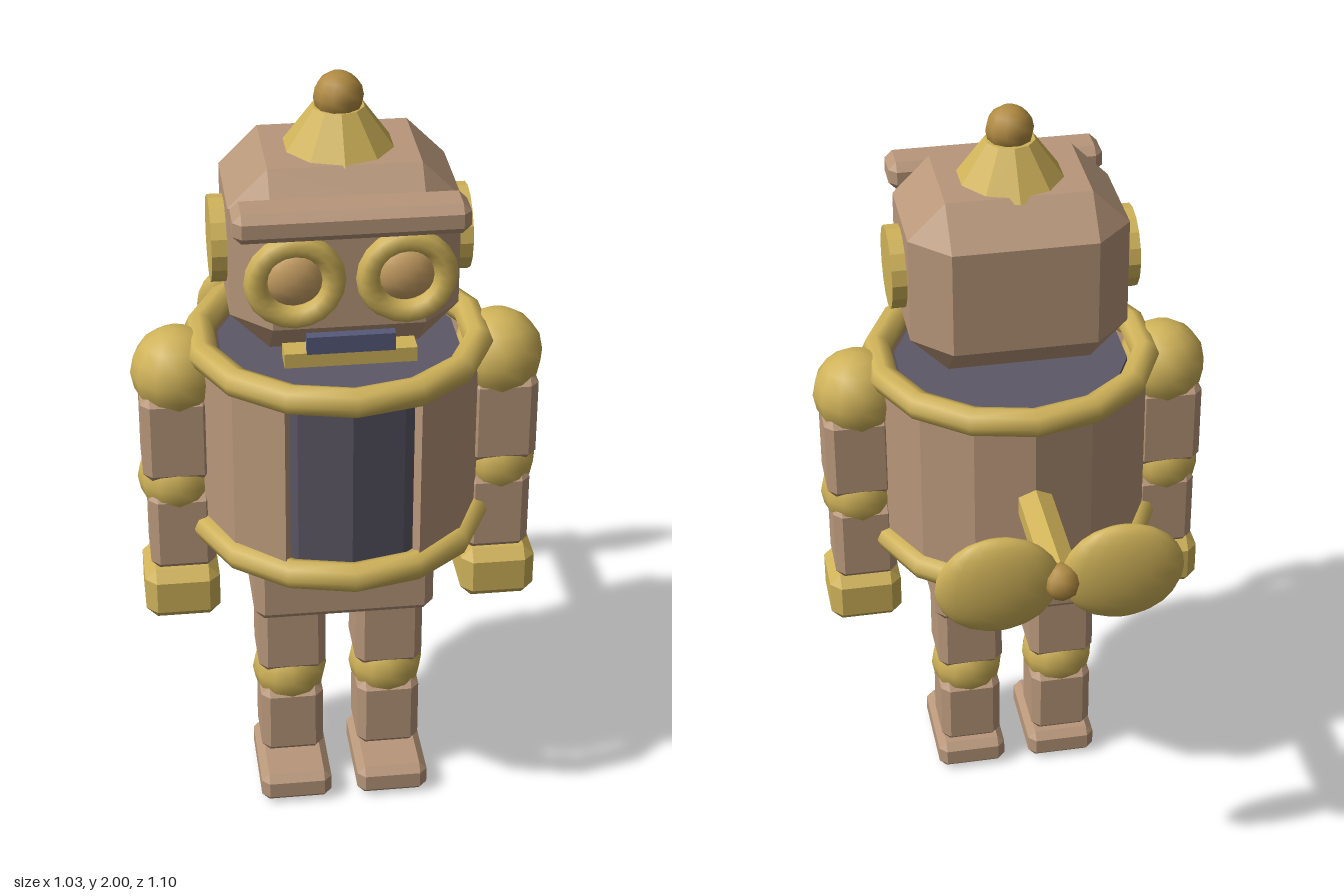
import * as THREE from 'three';
import { ConvexGeometry } from 'three/addons/geometries/ConvexGeometry.js';

const mat = (name, color) => {
  const m = new THREE.MeshStandardMaterial({ color });
  m.name = name;
  return m;
};

// Give every face its own normal
function flat(geometry) {
  const g = geometry.index ? geometry.toNonIndexed() : geometry;
  g.computeVertexNormals();
  return g;
}

// Box with every edge cut at 45 degrees
function chamferBox(w, h, d, c) {
  const points = [];
  for (const sx of [-1, 1]) for (const sy of [-1, 1]) for (const sz of [-1, 1]) {
    for (let full = 0; full < 3; full++) {
      const p = [w / 2, h / 2, d / 2].map((half, i) => (i === full ? half : half - c));
      points.push(new THREE.Vector3(sx * p[0], sy * p[1], sz * p[2]));
    }
  }
  return new ConvexGeometry(points);
}

// Faceted wall around the back and sides, open at the front
function shellGeometry(outer, inner, height, gap, facets) {
  const ring = (r) => Array.from({ length: facets + 1 }, (_, i) => {
    const a = gap + (i / facets) * (Math.PI * 2 - gap * 2);
    return new THREE.Vector2(r * Math.sin(a), -r * Math.cos(a));
  });
  const shape = new THREE.Shape([...ring(outer), ...ring(inner).reverse()]);
  const g = new THREE.ExtrudeGeometry(shape, { depth: height, bevelEnabled: false });
  return g.rotateX(-Math.PI / 2);
}

export function createModel() {
  const model = new THREE.Group();
  model.name = 'robot';
  const brown = mat('brown metal', 0xb8977a);
  const gold = mat('gold', 0xcfb259);
  const dark = mat('dark core', 0x5c5866);
  const bronze = mat('bronze', 0xb08a42);
  const lens = mat('lens', 0xcda467);
  const slot = mat('mouth slot', 0x565a7a);
  const Z = 0.168; // depth of the body axis

  const add = (parent, name, geometry, material, x, y, z) => {
    const mesh = new THREE.Mesh(geometry, material);
    mesh.name = name;
    mesh.position.set(x, y, z);
    parent.add(mesh);
    return mesh;
  };
  const part = (name) => {
    const g = new THREE.Group();
    g.name = name;
    model.add(g);
    return g;
  };
  const ball = (r, w = 12, h = 8) => new THREE.SphereGeometry(r, w, h);

  // Head with brow, mouth and pointed cap
  const head = part('head');
  add(head, 'skull', chamferBox(0.55, 0.465, 0.445, 0.094), brown, 0, 1.5875, Z);
  add(head, 'brow', chamferBox(0.55, 0.075, 0.11, 0.02), brown, 0, 1.737, 0.4);
  add(head, 'mouth', new THREE.BoxGeometry(0.21, 0.045, 0.025), slot, 0, 1.423, 0.417);
  add(head, 'lowerLip', new THREE.BoxGeometry(0.315, 0.037, 0.058), gold, 0, 1.383, 0.395);
  add(head, 'cap', flat(new THREE.CylinderGeometry(0.063, 0.143, 0.11, 10)), gold, 0, 1.862, 0.165);
  add(head, 'capKnob', ball(0.06, 10, 8), bronze, 0, 1.94, Z);
  for (const s of [-1, 1]) {
    add(head, 'eyeRim', new THREE.TorusGeometry(0.092, 0.028, 8, 20), gold, s * 0.131, 1.588, 0.416);
    add(head, 'eyeLens', ball(0.076, 16, 10), lens, s * 0.131, 1.59, 0.385).scale.z = 0.6;
    const ear = flat(new THREE.CylinderGeometry(0.105, 0.105, 0.05, 16).rotateZ(Math.PI / 2));
    add(head, 'ear', ear, gold, s * 0.287, 1.59, Z);
  }

  // Drum torso: dark core, open shell and two rings
  const torso = part('torso');
  add(torso, 'core', flat(new THREE.CylinderGeometry(0.3, 0.3, 0.47, 14)), dark, 0, 1.065, Z);
  add(torso, 'shell', shellGeometry(0.35, 0.32, 0.49, THREE.MathUtils.degToRad(28), 12), brown, 0, 0.82, Z);
  for (const y of [0.821, 1.312]) {
    const ring = new THREE.TorusGeometry(0.345, 0.037, 8, 14).rotateZ(Math.PI / 2).rotateX(Math.PI / 2);
    add(torso, 'ring', ring, gold, 0, y, Z);
  }
  add(model, 'pelvis', chamferBox(0.46, 0.19, 0.316, 0.025), brown, 0, 0.665, 0.171);

  // Rear propeller
  const propeller = part('propeller');
  const shaft = flat(new THREE.CylinderGeometry(0.049, 0.049, 0.34, 6).rotateX(Math.PI / 2));
  add(propeller, 'shaft', shaft, gold, 0, 1.065, -0.32);
  add(propeller, 'hub', ball(0.048, 8, 6), bronze, 0, 1.068, -0.505);
  for (const s of [-1, 1]) {
    add(propeller, 'blade', ball(1, 16, 12), gold, s * 0.153, 1.07, -0.493).scale.set(0.153, 0.135, 0.045);
  }

  // Arms and legs, mirrored
  for (const s of [-1, 1]) {
    const arm = part(s > 0 ? 'leftArm' : 'rightArm');
    add(arm, 'shoulder', ball(0.114), gold, s * 0.4, 1.236, Z);
    add(arm, 'upperArm', chamferBox(0.174, 0.24, 0.176, 0.022), brown, s * 0.408, 1.08, Z);
    add(arm, 'elbow', ball(0.099), gold, s * 0.408, 0.937, Z);
    add(arm, 'forearm', chamferBox(0.164, 0.225, 0.168, 0.022), brown, s * 0.402, 0.81, Z);
    add(arm, 'hand', chamferBox(0.19, 0.143, 0.194, 0.028), gold, s * 0.407, 0.63, 0.176);

    const leg = part(s > 0 ? 'leftLeg' : 'rightLeg');
    add(leg, 'thigh', chamferBox(0.176, 0.24, 0.176, 0.022), brown, s * 0.127, 0.475, Z);
    add(leg, 'knee', ball(0.098), gold, s * 0.128, 0.322, Z);
    add(leg, 'shin', chamferBox(0.164, 0.205, 0.168, 0.022), brown, s * 0.128, 0.192, Z);
    add(leg, 'foot', chamferBox(0.186, 0.083, 0.275, 0.02), brown, s * 0.128, 0.042, 0.212);
  }
  return model;
}
